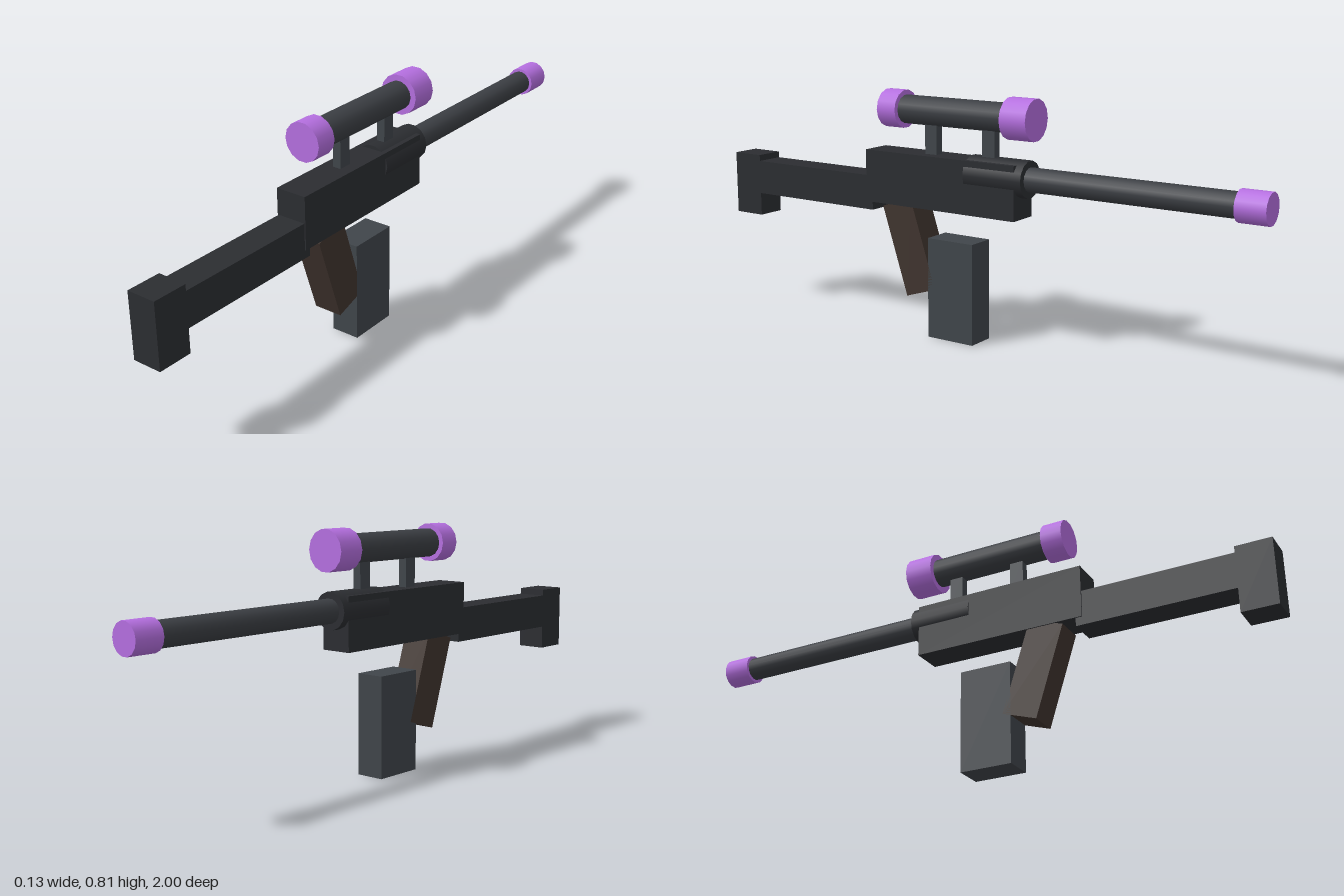
import * as THREE from 'three';

const material = (color) => new THREE.MeshStandardMaterial({ color });

export function createModel() {
  const model = new THREE.Group();
  const dark = material(0x2b2d31);
  const steel = material(0x3b3e43);
  const grey = material(0x40454a);
  const brown = material(0x40342e);
  const purple = material(0xb56fe0);

  const add = (name, geometry, mat, y, z) => {
    const mesh = new THREE.Mesh(geometry, mat);
    mesh.name = name;
    mesh.position.set(0, y, z);
    model.add(mesh);
    return mesh;
  };

  // Box given by its width and its extents in y and z
  const box = (name, width, y0, y1, z0, z1, mat) =>
    add(name, new THREE.BoxGeometry(width, y1 - y0, z1 - z0), mat, (y0 + y1) / 2, (z0 + z1) / 2);

  // 14-sided cylinder lying along z
  const rod = (name, radius, y, z0, z1, mat) => {
    const geometry = new THREE.CylinderGeometry(radius, radius, z1 - z0, 14);
    // Start at a side corner so the top is a flat facet
    geometry.rotateY(Math.PI / 2).rotateX(Math.PI / 2);
    return add(name, geometry, mat, y, (z0 + z1) / 2);
  };

  // Body and stock
  box('receiver', 0.106, 0.43, 0.605, -0.188, 0.395, dark);
  box('stock', 0.098, 0.402, 0.518, 0.373, 0.89, dark);
  box('buttPlate', 0.098, 0.323, 0.539, 0.885, 1, dark);

  // Barrel
  const barrelY = 0.558;
  rod('barrelCollar', 0.06, barrelY, -0.215, 0, dark);
  rod('barrel', 0.039, barrelY, -0.92, -0.1, steel);
  rod('muzzle', 0.049, barrelY, -1, -0.905, purple);

  // Slanted grip and magazine
  const grip = add('grip', new THREE.BoxGeometry(0.098, 0.31, 0.12), brown, 0.293, 0.223);
  grip.rotation.x = 0.317;
  box('magazine', 0.098, 0, 0.335, -0.03, 0.145, grey);

  // Scope on two posts
  const scopeY = 0.744;
  rod('scopeTube', 0.047, scopeY, -0.16, 0.28, steel);
  rod('scopeRearCap', 0.063, scopeY, 0.265, 0.338, purple);
  rod('scopeFrontCap', 0.067, scopeY, -0.235, -0.14, purple);
  for (const z of [0.155, -0.068]) {
    box('scopeMount', 0.029, 0.59, 0.715, z - 0.023, z + 0.023, grey);
  }

  return model;
}
